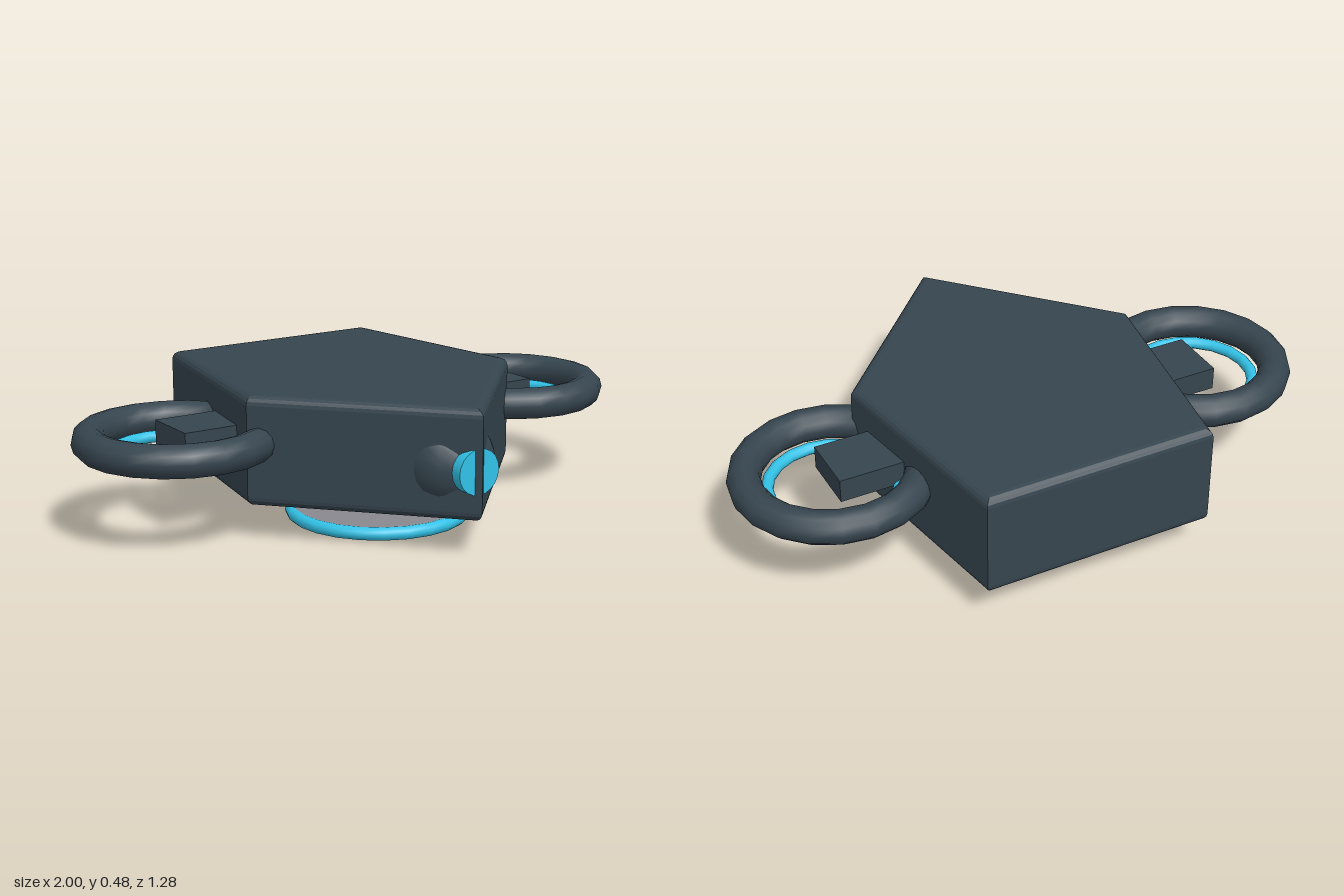
import * as THREE from 'three';

function material(name, color) {
  const m = new THREE.MeshStandardMaterial({ color });
  m.name = name;
  return m;
}

export function createModel() {
  const charcoal = material('charcoal', 0x36454f);
  const cyan = material('cyan', 0x33c3e8);
  const grey = material('grey', 0x88888f);
  const model = new THREE.Group();
  model.name = 'hoverDrone';

  function add(name, geometry, mat, x, y, z) {
    const mesh = new THREE.Mesh(geometry, mat);
    mesh.name = name;
    mesh.position.set(x, y, z);
    model.add(mesh);
    return mesh;
  }

  // Flat-lying ring
  const ring = (radius, tube, segments) =>
    new THREE.TorusGeometry(radius, tube, 12, segments).rotateX(Math.PI / 2);

  // Pentagonal hull with a pointed nose and rounded rims
  const outline = [[-0.395, -0.64], [-0.515, 0.09], [0, 0.64], [0.515, 0.09], [0.395, -0.64]];
  const shape = new THREE.Shape(outline.map(([x, z]) => new THREE.Vector2(x, -z)));
  const hull = new THREE.ExtrudeGeometry(shape, {
    depth: 0.3, bevelThickness: 0.03, bevelSize: 0.03, bevelOffset: -0.03, bevelSegments: 4,
  }).rotateX(-Math.PI / 2);
  add('hull', hull, charcoal, 0, 0.15, 0);

  // Side rotors: guard ring, glowing inner ring and arm
  for (const [side, s] of [['left', 1], ['right', -1]]) {
    add(side + 'RotorGuard', ring(0.28, 0.055, 20), charcoal, s * 0.665, 0.325, -0.1);
    add(side + 'GlowRing', ring(0.21, 0.02, 20), cyan, s * 0.665, 0.28, -0.1);
    add(side + 'Arm', new THREE.BoxGeometry(0.3, 0.08, 0.205), charcoal, s * 0.535, 0.325, -0.1025);
  }

  // Camera eye set into the nose
  add('eyeHousing', new THREE.SphereGeometry(0.155, 16, 12), charcoal, 0, 0.28, 0.45);
  add('lens', new THREE.CylinderGeometry(0.075, 0.075, 0.04, 20).rotateX(Math.PI / 2),
    cyan, 0, 0.28, 0.603);

  // Hover pad floating under the hull
  add('hoverPad', new THREE.CylinderGeometry(0.29, 0.29, 0.043, 24), grey, 0, 0.0225, 0.0625);
  add('hoverPadRim', ring(0.29, 0.022, 24), cyan, 0, 0.023, 0.0625);

  return model;
}
